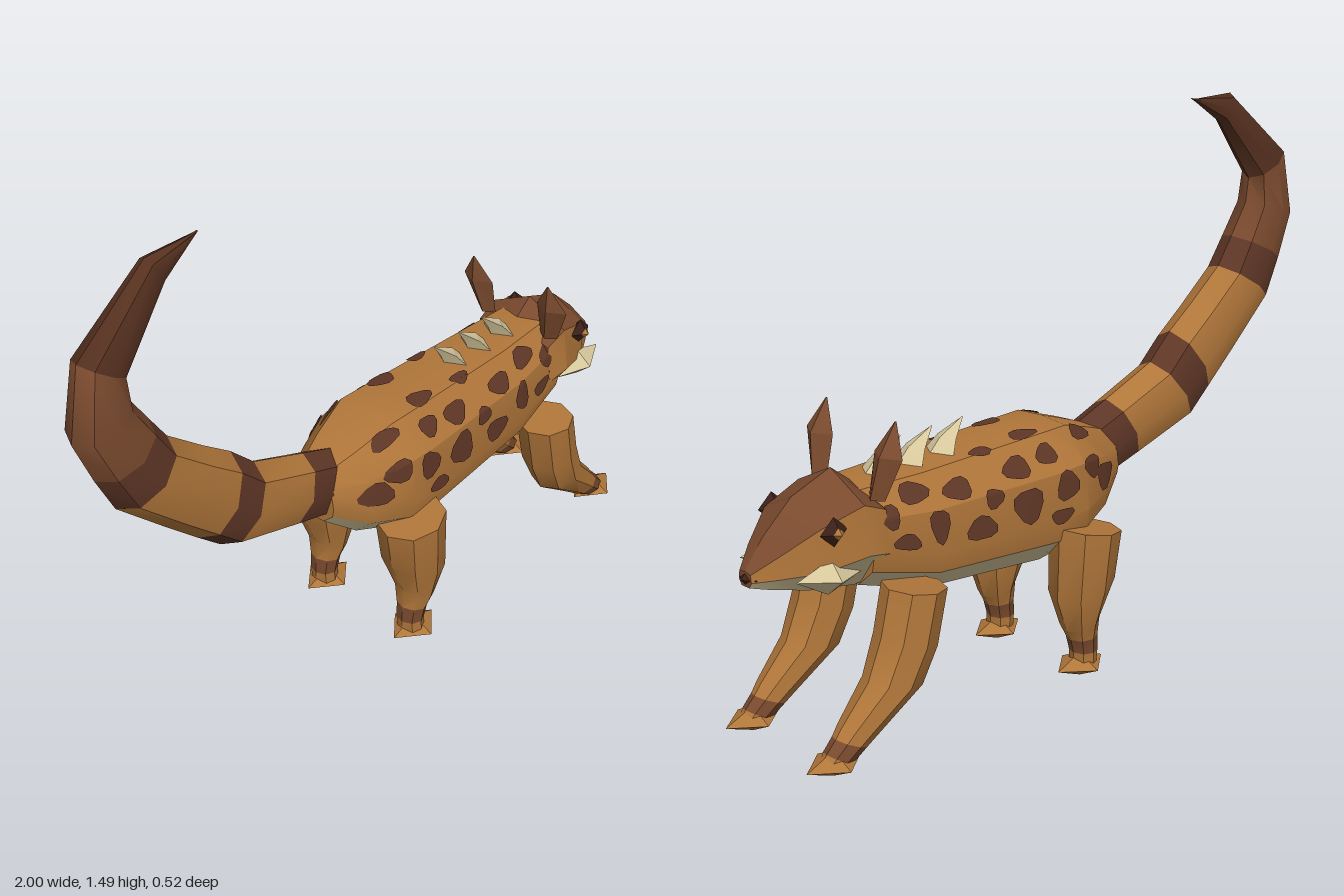
import * as THREE from 'three';
import { toCreasedNormals } from 'three/addons/utils/BufferGeometryUtils.js';

const mat = (name, color, side = THREE.FrontSide) => {
  const m = new THREE.MeshStandardMaterial({ color, side });
  m.name = name;
  return m;
};

export function createModel() {
  const tan = mat('tan fur', 0xb0763a);
  const brown = mat('brown fur', 0x7a4a2e);
  const dark = mat('dark markings', 0x5e3626, THREE.DoubleSide);
  const tipBrown = mat('tail tip brown', 0x55301f);
  const cream = mat('cream', 0xd6c79c);
  const black = mat('nose and eye', 0x3c2018);
  const group = new THREE.Group();

  function add(name, geometry, material) {
    const mesh = new THREE.Mesh(geometry, material);
    mesh.name = name;
    group.add(mesh);
    return mesh;
  }

  // Skin a row of closed rings; colourOf(segment, side) picks the material
  function loft(name, rings, colourOf, crease = 0.6) {
    const lists = new Map();
    const push = (m, ...pts) => {
      if (!lists.has(m)) lists.set(m, []);
      lists.get(m).push(pts);
    };
    const n = rings[0].length, last = rings.length - 1;
    for (let s = 0; s < last; s++) for (let i = 0; i < n; i++) {
      const j = (i + 1) % n, m = colourOf(s, i);
      push(m, rings[s][i], rings[s][j], rings[s + 1][j]);
      push(m, rings[s][i], rings[s + 1][j], rings[s + 1][i]);
    }
    for (let i = 1; i < n - 1; i++) {
      push(colourOf(0, 0), rings[0][0], rings[0][i + 1], rings[0][i]);
      push(colourOf(last - 1, 0), rings[last][0], rings[last][i], rings[last][i + 1]);
    }
    // Turn the skin outwards if its signed volume is negative
    let volume = 0;
    const c = new THREE.Vector3();
    for (const tris of lists.values()) for (const [p, q, r] of tris) volume += p.dot(c.crossVectors(q, r));
    const positions = [], mats = [...lists.keys()];
    const g = new THREE.BufferGeometry();
    mats.forEach((m, k) => {
      const start = positions.length / 3;
      for (const [p, q, r] of lists.get(m))
        for (const v of volume < 0 ? [p, r, q] : [p, q, r]) positions.push(v.x, v.y, v.z);
      g.addGroup(start, positions.length / 3 - start, k);
    });
    g.setAttribute('position', new THREE.Float32BufferAttribute(positions, 3));
    return add(name, toCreasedNormals(g, crease), mats);
  }

  // Ring spanning two outline points in the xy plane, with half-width hz
  const limbRing = ([ax, ay, bx, by, hz], z, sides) => Array.from({ length: sides }, (_, i) => {
    const a = i / sides * Math.PI * 2, k = Math.cos(a) / 2;
    return new THREE.Vector3((ax + bx) / 2 + (ax - bx) * k, (ay + by) / 2 + (ay - by) * k, z + hz * Math.sin(a));
  });
  const limb = (name, rows, z, sides, crease) =>
    loft(name, rows.map(r => limbRing(r, z + (r[6] || 0), sides)), s => rows[s][5], crease);

  // Mirror a half profile running from top centre to bottom centre
  const mirrorRing = half => [...half, ...half.slice(1, -1).reverse().map(p => new THREE.Vector3(p.x, p.y, -p.z))];

  // Body: stations of x, top, bottom, half-width
  const stations = [
    [-0.22, 0.63, 0.48, 0.08], [-0.12, 0.67, 0.405, 0.135], [0, 0.712, 0.365, 0.182],
    [0.1, 0.71, 0.35, 0.18], [0.5, 0.70, 0.385, 0.16], [0.7, 0.70, 0.45, 0.135],
  ];
  const profile = [[0, 1], [0.5, 0.98], [0.9, 0.72], [1, 0.36], [0.94, 0.2], [0.52, 0], [0, 0]];
  const lerp = THREE.MathUtils.lerp;
  function bodyPoint(x, v, grow = 1) {
    let i = 0;
    while (i < stations.length - 2 && x > stations[i + 1][0]) i++;
    const a = stations[i], b = stations[i + 1], f = (x - a[0]) / (b[0] - a[0]);
    const [top, bottom, w] = [1, 2, 3].map(k => lerp(a[k], b[k], f));
    const k = Math.min(Math.floor(v), 5), p = profile[k], q = profile[k + 1];
    const z = lerp(p[0], q[0], v - k) * w, y = lerp(bottom, top, lerp(p[1], q[1], v - k));
    const mid = (top + bottom) / 2;
    return new THREE.Vector3(x, mid + (y - mid) * grow, z * grow);
  }
  loft('body', stations.map(([x]) => mirrorRing(profile.map((_, v) => bodyPoint(x, v)))),
    (s, i) => (i < 6 ? i : 11 - i) >= 4 ? cream : tan, 0.5);

  // Spots: thin patches lying on the flanks: x, position round the body, radii
  const spots = [
    [-0.04, 1.2, 0.045, 0.22], [0.11, 1.5, 0.035, 0.25], [-0.04, 2.1, 0.042, 0.28], [-0.11, 2.5, 0.05, 0.35],
    [0.07, 2.3, 0.04, 0.3], [0.22, 1.6, 0.045, 0.28], [0.21, 2.45, 0.05, 0.36], [0.32, 2.1, 0.03, 0.22],
    [0.37, 2.65, 0.05, 0.25], [0.42, 1.65, 0.045, 0.28], [0.5, 2.35, 0.03, 0.38], [0.55, 1.45, 0.045, 0.3],
    [0.6, 2.65, 0.04, 0.2], [0.64, 1.95, 0.03, 0.35], [0.1, 2.85, 0.04, 0.15], [0.14, 0.75, 0.045, 0.3],
    [0.3, 0.9, 0.035, 0.22],
  ];
  for (const side of [1, -1]) spots.forEach(([x, v, rx, rv], n) => {
    const at = (r, a) => {
      const wob = r * (1 + 0.13 * Math.sin(3 * a + n * 1.7 + side));
      const p = bodyPoint(x + Math.cos(a) * rx * wob, v + Math.sin(a) * rv * wob, 1.03);
      return [p.x, p.y, p.z * side];
    };
    const pos = [], N = 12, R = 3;
    for (let j = 0; j < R; j++) for (let i = 0; i < N; i++) {
      const a = i / N * Math.PI * 2, b = (i + 1) / N * Math.PI * 2, r = j / R, q = (j + 1) / R;
      const quad = [at(r, a), at(q, a), at(q, b), at(r, b)];
      for (const k of side > 0 ? [0, 1, 2, 0, 2, 3] : [0, 2, 1, 0, 3, 2]) pos.push(...quad[k]);
    }
    const g = new THREE.BufferGeometry();
    g.setAttribute('position', new THREE.Float32BufferAttribute(pos, 3));
    g.computeVertexNormals();
    add('flankSpot', g, dark);
  });

  // Tail: upper x y, lower x y, half-width, colour up to the next ring
  limb('tail', [
    [-0.13, 0.655, -0.2, 0.475, 0.075, dark], [-0.25, 0.70, -0.34, 0.515, 0.08, tan],
    [-0.43, 0.77, -0.56, 0.58, 0.085, dark], [-0.51, 0.845, -0.635, 0.645, 0.085, tan],
    [-0.60, 0.91, -0.74, 0.74, 0.085, tan], [-0.715, 1.0, -0.89, 0.88, 0.085, dark],
    [-0.77, 1.08, -0.945, 0.99, 0.08, brown], [-0.83, 1.17, -1.0, 1.12, 0.072, brown],
    [-0.84, 1.24, -0.965, 1.32, 0.058, tipBrown], [-0.70, 1.42, -0.745, 1.497, 0.032, tipBrown],
    [-0.58, 1.5, -0.585, 1.495, 0.003, tipBrown],
  ], 0, 8, 0.7);

  // Head: x, top y, brow y z, cheek y z, jaw y z
  const head = [
    [0.65, 0.69, 0.65, 0.125, 0.54, 0.14, 0.465, 0.08], [0.72, 0.745, 0.68, 0.13, 0.555, 0.148, 0.46, 0.08],
    [0.84, 0.70, 0.645, 0.11, 0.535, 0.115, 0.475, 0.06], [0.93, 0.62, 0.585, 0.06, 0.53, 0.065, 0.495, 0.035],
    [0.985, 0.55, 0.545, 0.022, 0.525, 0.025, 0.51, 0.015],
  ];
  loft('head', head.map(([x, t, by, bz, cy, cz, jy, jz]) => mirrorRing(
    [[t, 0], [by, bz], [cy, cz], [jy, jz], [jy, 0]].map(([y, z]) => new THREE.Vector3(x, y, z)))),
  (s, i) => [brown, tan, cream, cream][i < 4 ? i : 7 - i], 0.35);

  // Faceted diamonds for the nose, eyes, cheeks and feet
  function diamond(name, m, x, y, z, rx, ry, rz) {
    const mesh = add(name, new THREE.OctahedronGeometry(1), m);
    mesh.position.set(x, y, z);
    mesh.scale.set(rx, ry, rz);
    return mesh;
  }
  diamond('nose', black, 0.975, 0.53, 0, 0.023, 0.025, 0.035);

  for (const s of [1, -1]) {
    diamond('eye', black, 0.81, 0.635, 0.122 * s, 0.042, 0.038, 0.028);
    diamond('eyeGlint', tan, 0.81, 0.635, 0.141 * s, 0.016, 0.016, 0.014);
    diamond('cheekTuft', cream, 0.82, 0.52, 0.112 * s, 0.1, 0.045, 0.05).rotation.z = 0.12;
    limb('ear', [
      [0.69, 0.68, 0.645, 0.68, 0.03, brown, -0.02 * s], [0.675, 0.79, 0.615, 0.79, 0.052, brown],
      [0.622, 0.87, 0.618, 0.87, 0.003, brown],
    ], 0.133 * s, 4, 0.2);

    limb('rearLeg', [
      [0.095, 0.455, -0.10, 0.42, 0.097, tan], [0.102, 0.25, -0.08, 0.30, 0.088, tan],
      [0.065, 0.15, -0.03, 0.19, 0.06, tan], [0.05, 0.12, -0.032, 0.13, 0.045, brown],
      [0.04, 0.08, -0.035, 0.08, 0.04, tan], [0.04, 0.035, -0.03, 0.035, 0.04, tan],
    ], 0.165 * s, 8, 0.7);
    diamond('rearFoot', tan, 0.015, 0.04, 0.165 * s, 0.083, 0.034, 0.068);

    limb('frontLeg', [
      [0.68, 0.46, 0.52, 0.44, 0.085, tan], [0.71, 0.34, 0.555, 0.29, 0.082, tan],
      [0.755, 0.235, 0.60, 0.20, 0.072, tan], [0.84, 0.145, 0.74, 0.105, 0.05, tan],
      [0.86, 0.12, 0.775, 0.08, 0.043, brown], [0.89, 0.09, 0.82, 0.05, 0.038, tan],
      [0.9, 0.07, 0.85, 0.04, 0.03, tan],
    ], 0.165 * s, 8, 0.7);
    diamond('frontFoot', tan, 0.867, 0.06, 0.165 * s, 0.085, 0.034, 0.066);
  }

  // Row of spines leaning back along the shoulders
  for (const x of [0, 0.105, 0.21]) {
    limb('backSpine', [
      [0.4 + x, 0.70, 0.335 + x, 0.69, 0.055, cream], [0.365 + x, 0.735, 0.315 + x, 0.73, 0.035, cream],
      [0.287 + x, 0.775, 0.285 + x, 0.772, 0.002, cream],
    ], 0, 4, 0.3);
  }
  return group;
}
